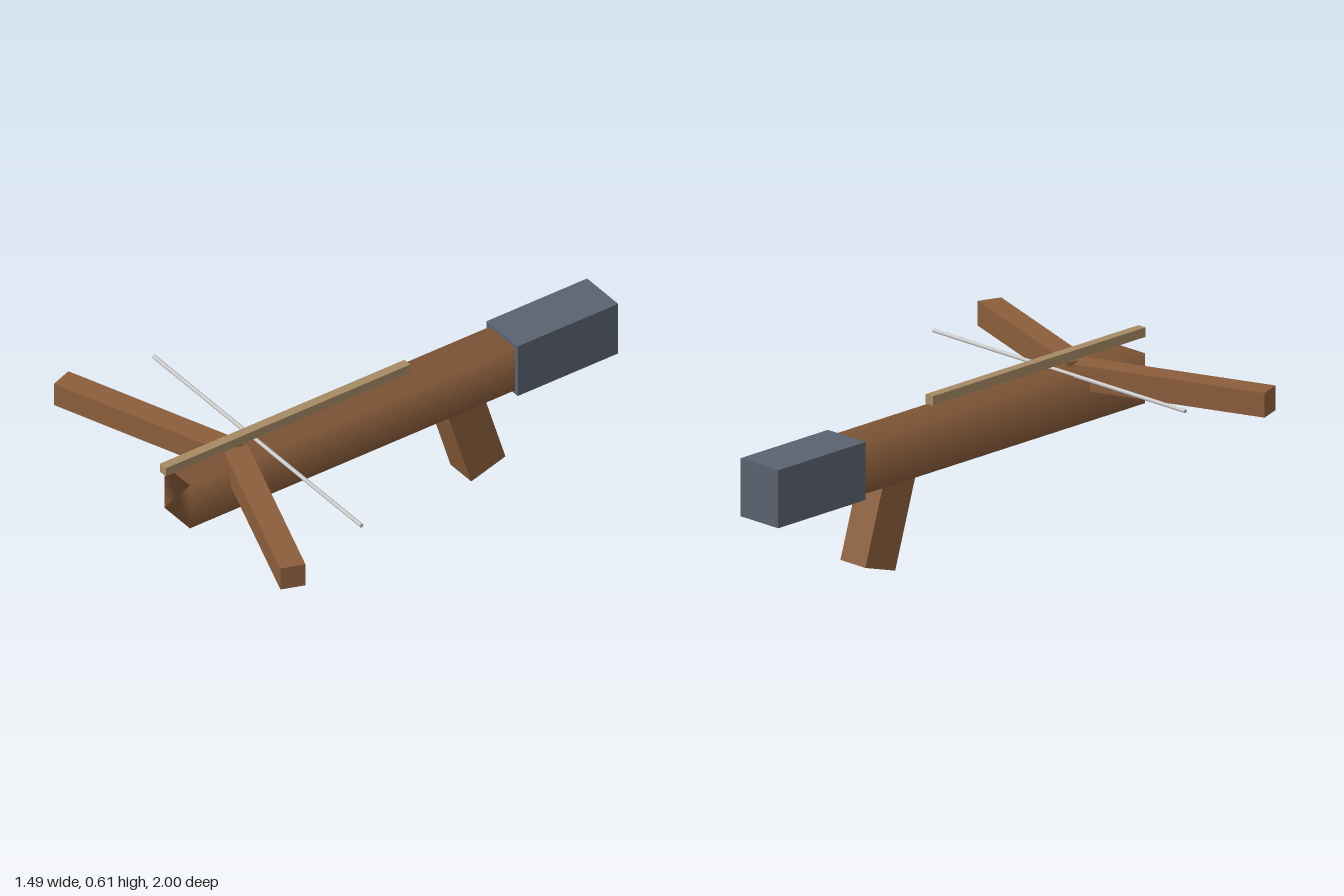
import * as THREE from 'three';

const flat = (name, color) => {
  const m = new THREE.MeshStandardMaterial({ color });
  m.name = name;
  return m;
};

export function createModel() {
  const wood = flat('brown wood', 0x8b5e3c);
  const paleWood = flat('pale wood', 0xa68a64);
  const steel = flat('slate grey', 0x5a6270);
  const cord = flat('light grey cord', 0xc8c8c8);

  const model = new THREE.Group();
  model.name = 'crossbow';
  const add = (name, geometry, material, x, y, z) => {
    const mesh = new THREE.Mesh(geometry, material);
    mesh.name = name;
    mesh.position.set(x, y, z);
    model.add(mesh);
    return mesh;
  };

  // Four-sided tiller with soft shading all round, including its flat ends
  const length = 1.5, r = Math.SQRT1_2;
  const profile = [[0, 0], [r, 0], [r, length], [0, length]].map(p => new THREE.Vector2(...p));
  const tiller = new THREE.LatheGeometry(profile, 4, Math.PI / 4);
  const normals = tiller.attributes.normal;
  for (let i = 0; i < normals.count; i++) {
    const a = Math.PI / 4 + Math.floor(i / profile.length) * Math.PI / 2;
    normals.setXYZ(i, Math.sin(a), 0, Math.cos(a));
  }
  tiller.rotateX(Math.PI / 2);
  tiller.scale(0.16, 0.195, 1);
  add('tiller', tiller, wood, 0, 0.443, 0.935 - length);

  // Butt block and raked grip
  add('butt', new THREE.BoxGeometry(0.196, 0.226, 0.457), steel, 0, 0.443, -0.7715);
  add('grip', new THREE.BoxGeometry(0.13, 0.42, 0.163), wood, 0, 0.226, -0.371).rotation.x = 0.3;

  // Limbs swept forward on each side
  const sweep = THREE.MathUtils.degToRad(20);
  for (const side of [1, -1]) {
    const limb = add(side > 0 ? 'leftLimb' : 'rightLimb',
      new THREE.BoxGeometry(0.777, 0.096, 0.096), wood, side * 0.365, 0.508, 0.803);
    limb.rotation.y = -side * sweep;
  }

  // Bolt above the tiller and the bowstring across it
  add('bolt', new THREE.BoxGeometry(0.037, 0.037, 1.112), paleWood, 0, 0.592, 0.444);
  add('bowstring', new THREE.CylinderGeometry(0.008, 0.008, 1.31, 8), cord, 0, 0.541, 0.569)
    .rotation.z = Math.PI / 2;

  return model;
}
